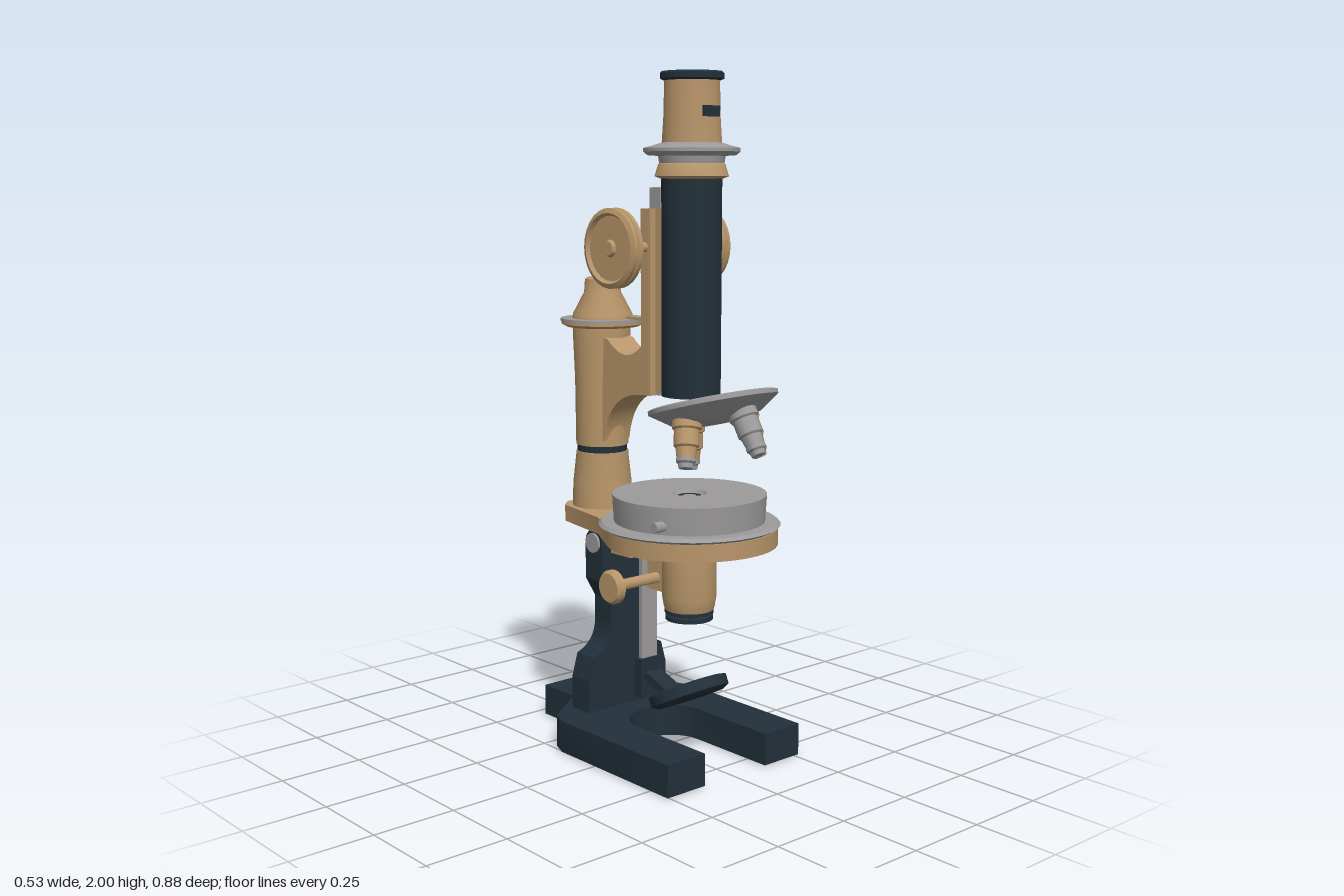
import * as THREE from 'three';
import { toCreasedNormals } from 'three/addons/utils/BufferGeometryUtils.js';

const material = (name, color) => {
  const m = new THREE.MeshStandardMaterial({ color, side: THREE.DoubleSide });
  m.name = name;
  return m;
};

export function createModel() {
  const enamel = material('dark enamel', 0x22303a);
  const brass = material('brass', 0xb8966a);
  const steel = material('steel', 0x9c9a9a);
  const pad = material('foot pad', 0x5c5c5e);
  const model = new THREE.Group();
  model.name = 'microscope';

  const add = (name, geometry, mat, pos = [0, 0, 0], parent = model) => {
    const mesh = new THREE.Mesh(geometry, mat);
    mesh.name = name;
    mesh.position.set(...pos);
    parent.add(mesh);
    return mesh;
  };
  const box = (name, mat, w, h, d, pos, parent) => add(name, new THREE.BoxGeometry(w, h, d), mat, pos, parent);
  // Turned part from [radius, height] pairs, bottom to top
  const turned = (name, mat, profile, pos, parent, sides = 28) => {
    const g = new THREE.LatheGeometry(profile.map(([r, y]) => new THREE.Vector2(r, y)), sides);
    return add(name, toCreasedNormals(g, 0.5), mat, pos, parent);
  };
  // Flat outline in x and -z, raised from y0 to y1
  const slab = (name, mat, shape, y0, y1) => {
    const g = new THREE.ExtrudeGeometry(shape, { depth: y1 - y0, bevelEnabled: false, curveSegments: 20 });
    g.rotateX(-Math.PI / 2);
    return add(name, toCreasedNormals(g, 0.5), mat, [0, y0, 0]);
  };

  // Horseshoe foot
  const foot = new THREE.Shape();
  foot.moveTo(0.12, -0.33);
  foot.lineTo(0.26, -0.33);
  foot.lineTo(0.26, 0.15);
  foot.lineTo(0.24, 0.2);
  foot.lineTo(0.09, 0.31);
  foot.lineTo(0.09, 0.455);
  foot.lineTo(-0.09, 0.455);
  foot.lineTo(-0.09, 0.31);
  foot.lineTo(-0.24, 0.2);
  foot.lineTo(-0.26, 0.15);
  foot.lineTo(-0.26, -0.33);
  foot.lineTo(-0.12, -0.33);
  foot.lineTo(-0.12, -0.04);
  foot.bezierCurveTo(-0.12, 0.11, 0.12, 0.11, 0.12, -0.04);
  slab('foot', enamel, foot, 0.004, 0.1);
  for (const [x, z] of [[0.19, 0.25], [-0.19, 0.25], [0, -0.36]]) box('footPad', pad, 0.1, 0.006, 0.1, [x, 0.003, z]);

  // Pillar with broad shoulders at the bottom and a hinge head
  const pillar = new THREE.Shape();
  pillar.moveTo(-0.155, 0.1);
  pillar.lineTo(0.155, 0.1);
  pillar.lineTo(0.155, 0.2);
  pillar.lineTo(0.135, 0.27);
  pillar.quadraticCurveTo(0.07, 0.29, 0.065, 0.36);
  pillar.lineTo(0.065, 0.44);
  pillar.lineTo(0.1, 0.5);
  pillar.lineTo(0.1, 0.62);
  pillar.lineTo(-0.1, 0.62);
  pillar.lineTo(-0.1, 0.5);
  pillar.lineTo(-0.065, 0.44);
  pillar.lineTo(-0.065, 0.36);
  pillar.quadraticCurveTo(-0.07, 0.29, -0.135, 0.27);
  pillar.lineTo(-0.155, 0.2);
  add('pillar', new THREE.ExtrudeGeometry(pillar, { depth: 0.08, bevelEnabled: false }), enamel, [0, 0, -0.23]);
  turned('hinge', enamel, [[0, -0.1], [0.04, -0.1], [0.04, 0.1], [0, 0.1]], [0, 0.615, -0.19]).rotation.z = Math.PI / 2;
  turned('hingePin', steel, [[0, -0.108], [0.03, -0.108], [0.03, 0.108], [0, 0.108]], [0, 0.615, -0.19]).rotation.z = Math.PI / 2;

  // Mirror on its hanging bar
  box('mirrorBar', steel, 0.06, 0.38, 0.014, [0, 0.45, -0.055]);
  box('mirrorBarEnd', enamel, 0.08, 0.12, 0.03, [0, 0.21, -0.055]);
  const mirror = new THREE.Group();
  mirror.name = 'mirror';
  mirror.position.set(0, 0.205, 0.13);
  mirror.rotation.x = -0.48;
  model.add(mirror);
  turned('mirrorFrame', enamel, [[0, -0.022], [0.1, -0.022], [0.12, -0.012], [0.12, 0.018], [0.105, 0.022], [0.1, 0.012], [0, 0.012]], [0, 0, 0], mirror);
  box('mirrorBracket', enamel, 0.06, 0.025, 0.12, [0, 0.2, 0.02]).rotation.x = 0.35;

  // Stage plate, narrowing towards the back
  const plate = new THREE.Shape();
  plate.absarc(0, -0.14, 0.25, Math.PI * 0.82, Math.PI * 2.18, false);
  plate.lineTo(0.14, 0.12);
  plate.lineTo(0.1, 0.33);
  plate.lineTo(0.06, 0.37);
  plate.lineTo(-0.06, 0.37);
  plate.lineTo(-0.1, 0.33);
  plate.lineTo(-0.14, 0.12);
  slab('stagePlate', brass, plate, 0.66, 0.71);
  box('stageMount', brass, 0.13, 0.08, 0.17, [0, 0.625, -0.145]);
  turned('rotatingStage', steel, [[0, 0], [0.255, 0], [0.265, 0.007], [0.255, 0.016], [0.22, 0.016], [0.225, 0.095], [0.05, 0.095], [0.045, 0.085], [0, 0.085]], [0, 0.71, 0.13], model, 36);
  turned('stageOpening', enamel, [[0.02, 0], [0.035, 0]], [0, 0.797, 0.13]);
  turned('stageScrew', steel, [[0, -0.025], [0.015, -0.025], [0.015, 0.025], [0, 0.025]], [-0.2, 0.75, 0.23]).rotation.z = Math.PI / 2;

  // Condenser below the stage
  turned('condenserNeck', steel, [[0.12, 0.65], [0.12, 0.66], [0.06, 0.66], [0.06, 0.62]], [0, 0, 0.13]);
  turned('condenser', brass, [[0, 0.455], [0.07, 0.455], [0.075, 0.47], [0.08, 0.5], [0.08, 0.625], [0.065, 0.63], [0.065, 0.655]], [0, 0, 0.13]);
  turned('condenserRing', enamel, [[0.055, 0.43], [0.07, 0.43], [0.07, 0.442], [0.06, 0.446], [0.072, 0.45], [0.072, 0.46]], [0, 0, 0.13]);
  box('condenserSlide', brass, 0.08, 0.12, 0.1, [0, 0.56, 0.04]);
  turned('condenserKnob', brass, [[0, -0.02], [0.042, -0.02], [0.05, -0.01], [0.05, 0.005], [0.035, 0.015], [0.016, 0.02], [0.016, 0.17], [0, 0.17]], [-0.205, 0.54, 0.03]).rotation.z = -Math.PI / 2;

  // Rear column, collar and cap
  turned('columnBase', brass, [[0, 0.7], [0.092, 0.7], [0.09, 0.78], [0.08, 0.87], [0.08, 0.88], [0, 0.88]], [0, 0, -0.27]);
  turned('columnRing', enamel, [[0.076, 0.878], [0.076, 0.902]], [0, 0, -0.27]);
  turned('column', brass, [[0, 0.9], [0.08, 0.9], [0.082, 1.1], [0.088, 1.25], [0.088, 1.265], [0, 1.265]], [0, 0, -0.27]);
  turned('collar', brass, [[0, 1.262], [0.11, 1.262], [0.125, 1.27], [0.125, 1.279], [0, 1.279]], [0, 0, -0.265]);
  turned('collarPlate', steel, [[0, 1.279], [0.128, 1.279], [0.128, 1.287], [0, 1.287]], [0, 0, -0.265]);
  turned('columnCap', brass, [[0.092, 1.286], [0.09, 1.3], [0.056, 1.365], [0.053, 1.405], [0.045, 1.41], [0, 1.41]], [0, 0, -0.265]);
  box('pointer', brass, 0.015, 0.008, 0.13, [0, 1.295, -0.08]);

  // Arm: side outline drawn in z and y, extruded across x
  const arm = new THREE.Shape();
  arm.moveTo(-0.26, 0.92);
  arm.lineTo(-0.2, 0.92);
  arm.bezierCurveTo(-0.18, 1.05, -0.1, 1.08, 0.0, 1.08);
  arm.lineTo(0.0, 1.24);
  arm.lineTo(-0.03, 1.22);
  arm.quadraticCurveTo(-0.1, 1.155, -0.18, 1.23);
  arm.lineTo(-0.26, 1.25);
  const armGeometry = new THREE.ExtrudeGeometry(arm, { depth: 0.1, bevelEnabled: false });
  armGeometry.translate(0, 0, -0.05).rotateY(-Math.PI / 2);
  add('arm', toCreasedNormals(armGeometry, 0.5), brass);

  // Slide and rack behind the tube
  box('slide', brass, 0.07, 0.53, 0.05, [0, 1.355, 0.045]);
  box('slideGuide', brass, 0.1, 0.54, 0.04, [0, 1.35, -0.008]);
  box('rack', steel, 0.05, 0.6, 0.045, [0, 1.38, 0.005]);
  for (const y of [1.45, 1.51, 1.57]) {
    turned('slideScrew', enamel, [[0.012, 0], [0.012, 0.004], [0, 0.004]], [0, y, -0.028], model, 12).rotation.x = -Math.PI / 2;
  }

  // Coarse focus knobs
  turned('focusAxle', brass, [[0.014, -0.15], [0.014, 0.15]], [0, 1.51, -0.01], model, 12).rotation.z = Math.PI / 2;
  for (const side of [-1, 1]) {
    turned('focusKnob', brass, [[0, 0.09], [0.028, 0.09], [0.028, 0.145], [0.1, 0.15], [0.114, 0.152], [0.114, 0.164],
      [0.107, 0.168], [0.114, 0.172], [0.114, 0.182], [0.1, 0.188], [0.092, 0.178], [0.025, 0.178], [0.02, 0.188], [0, 0.188]],
    [0, 1.51, -0.01]).rotation.z = -side * Math.PI / 2;
  }

  // Body tube and eyepiece
  const tubePos = [0, 0, 0.135];
  turned('bodyTube', enamel, [[0, 1.09], [0.085, 1.09], [0.086, 1.71], [0, 1.71]], tubePos);
  turned('tubeCollar', brass, [[0.088, 1.705], [0.105, 1.712], [0.095, 1.745], [0.09, 1.75], [0, 1.75]], tubePos);
  turned('tubeFlange', steel, [[0.092, 1.748], [0.095, 1.768], [0.125, 1.77], [0.137, 1.78], [0.137, 1.79], [0.11, 1.797], [0.085, 1.805], [0, 1.805]], tubePos);
  turned('eyepiece', brass, [[0.085, 1.8], [0.08, 1.88], [0.078, 1.98]], tubePos);
  turned('eyepieceCap', enamel, [[0.078, 1.975], [0.09, 1.98], [0.09, 1.995], [0.085, 2], [0.03, 2], [0.02, 1.99]], tubePos);
  turned('eyeLens', brass, [[0.022, 1.99], [0, 1.99]], tubePos);
  box('eyepiecePlate', enamel, 0.06, 0.03, 0.008, [0, 1.89, 0.214]);

  // Tilted nosepiece with four objectives
  const nose = new THREE.Group();
  nose.name = 'nosepiece';
  nose.position.set(0, 1.07, 0.23);
  nose.rotation.x = -0.27;
  model.add(nose);
  turned('nosepieceDisc', steel, [[0, -0.05], [0.09, -0.05], [0.13, -0.035], [0.175, -0.004], [0.187, 0.004], [0.187, 0.016], [0.175, 0.02], [0.1, 0.008], [0, 0.005]], [0, 0, 0], nose, 36);
  for (let i = 0; i < 4; i++) {
    const turn = new THREE.Group();
    turn.name = 'objective';
    turn.rotation.y = i * Math.PI / 2;
    nose.add(turn);
    const tilt = new THREE.Group();
    tilt.name = 'objectiveMount';
    tilt.position.set(0, 0, -0.1);
    tilt.rotation.x = 0.27;
    turn.add(tilt);
    turned('objectiveBarrel', i === 2 ? steel : brass, [[0.026, -0.145], [0.03, -0.11], [0.036, -0.105], [0.036, -0.06], [0.042, -0.055], [0.042, 0]], [0, 0, 0], tilt, 20);
    turned('objectiveTip', steel, [[0, -0.168], [0.02, -0.168], [0.022, -0.155], [0.028, -0.15], [0.028, -0.14], [0, -0.14]], [0, 0, 0], tilt, 20);
  }
  return model;
}
